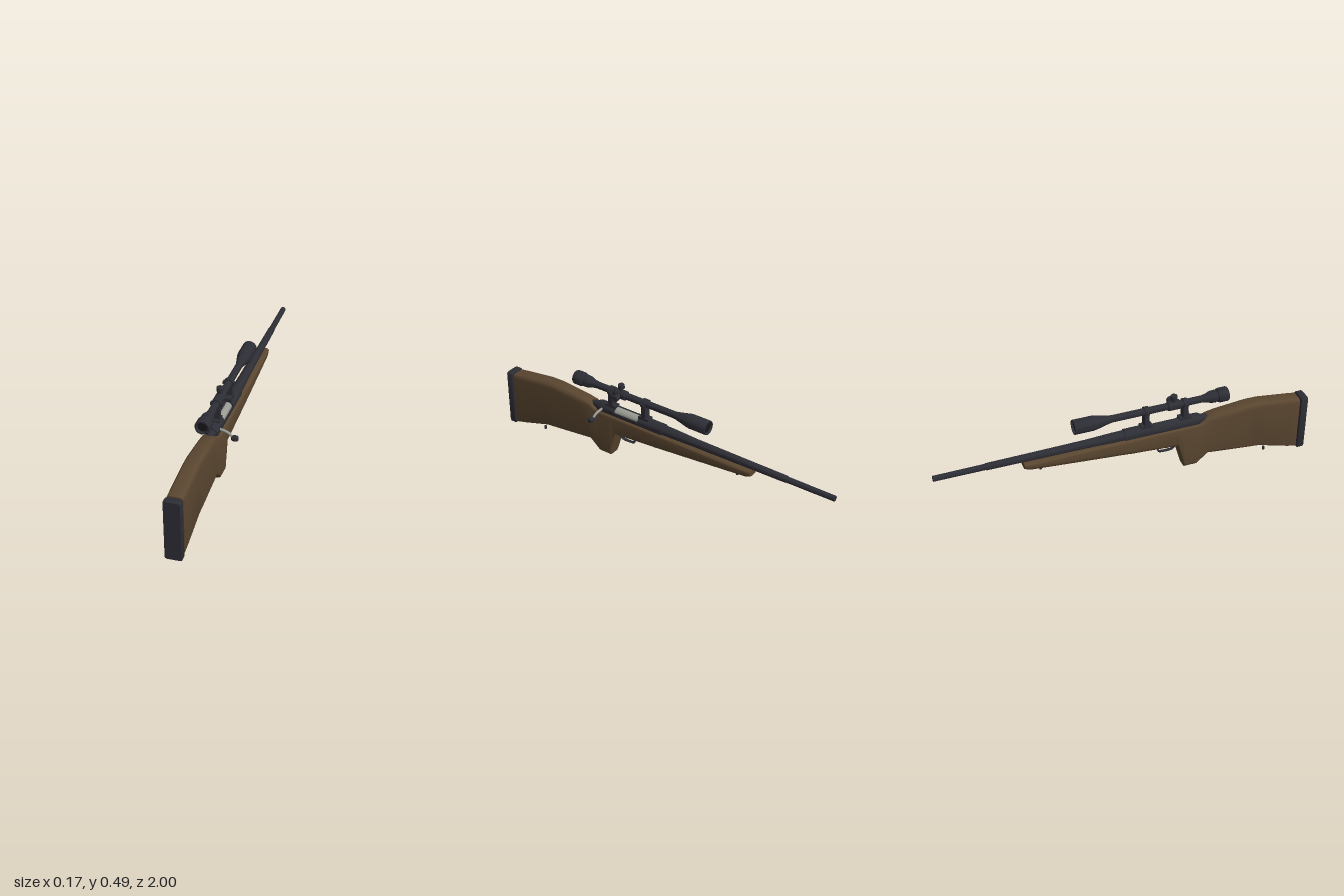
import * as THREE from 'three';
import { toCreasedNormals } from 'three/addons/utils/BufferGeometryUtils.js';

const AXIS_X = -0.0425; // the whole body sits beside x = 0, the bolt knob balances it
const mat = (name, color, side = THREE.FrontSide) => {
  const m = new THREE.MeshStandardMaterial({ color, side });
  m.name = name;
  return m;
};

// Turned part along z from [z, radius] pairs, z ascending
function turned(profile, segments = 28) {
  const g = new THREE.LatheGeometry(profile.map(([z, r]) => new THREE.Vector2(r, z)), segments);
  g.rotateX(Math.PI / 2);
  return toCreasedNormals(g, 0.6);
}

// Rounded cross-sections lofted along z; station = [z, top, bottom, halfWidth, topRy, bottomRx, bottomRy]
function loft(stations) {
  const pos = [], idx = [], steps = 4;
  for (const [z, top, bottom, w, topRy, botRx, botRy] of stations) {
    const corners = [[1, 1, 0], [-1, 1, 90], [-1, -1, 180], [1, -1, 270]];
    for (const [sx, sy, start] of corners) {
      const rx = sy > 0 ? 0.018 : botRx, ry = sy > 0 ? topRy : botRy;
      const cx = sx * (w - rx), cy = sy > 0 ? top - ry : bottom + ry;
      for (let k = 0; k <= steps; k++) {
        const a = THREE.MathUtils.degToRad(start + 90 * k / steps);
        pos.push(cx + rx * Math.cos(a), cy + ry * Math.sin(a), z);
      }
    }
  }
  const n = 4 * (steps + 1), last = (stations.length - 1) * n;
  for (let i = 0; i < stations.length - 1; i++) {
    for (let j = 0; j < n; j++) {
      const a = i * n + j, b = i * n + (j + 1) % n;
      idx.push(a, a + n, b, b, a + n, b + n);
    }
  }
  for (let j = 1; j < n - 1; j++) {
    idx.push(0, j, j + 1, last, last + j + 1, last + j);
  }
  const g = new THREE.BufferGeometry();
  g.setAttribute('position', new THREE.Float32BufferAttribute(pos, 3));
  g.setIndex(idx);
  return toCreasedNormals(g, 0.6);
}

function tube(points, radius) {
  const curve = new THREE.CatmullRomCurve3(points.map(p => new THREE.Vector3(...p)));
  return new THREE.TubeGeometry(curve, 24, radius, 10);
}

export function createModel() {
  const wood = mat('walnut', 0x5a4630);
  const metal = mat('gunmetal', 0x2d2d35, THREE.DoubleSide);
  const steel = mat('bright steel', 0x9b9b95);
  const glass = mat('dark glass', 0x17171c);

  const model = new THREE.Group();
  model.name = 'boltActionRifle';
  const body = new THREE.Group();
  body.name = 'body';
  body.position.x = AXIS_X;
  model.add(body);

  const add = (name, geometry, material, x = 0, y = 0, z = 0, parent = body) => {
    const m = new THREE.Mesh(geometry, material);
    m.name = name;
    m.position.set(x, y, z);
    parent.add(m);
    return m;
  };
  const box = (w, h, d) => new THREE.BoxGeometry(w, h, d);

  // Stock: butt, raised comb, pistol grip and forend
  add('stock', loft([
    [0.953, 0.318, 0.010, 0.041, 0.020, 0.012, 0.012],
    [0.900, 0.326, 0.024, 0.042, 0.024, 0.012, 0.012],
    [0.730, 0.349, 0.074, 0.042, 0.030, 0.014, 0.014],
    [0.660, 0.350, 0.081, 0.042, 0.030, 0.014, 0.014],
    [0.490, 0.335, 0.096, 0.041, 0.030, 0.018, 0.020],
    [0.435, 0.326, 0.101, 0.040, 0.026, 0.020, 0.020],
    [0.405, 0.304, 0.074, 0.040, 0.012, 0.022, 0.022],
    [0.374, 0.301, 0.047, 0.041, 0.012, 0.024, 0.024],
    [0.305, 0.301, 0.047, 0.042, 0.012, 0.024, 0.026],
    [0.290, 0.301, 0.100, 0.042, 0.012, 0.024, 0.026],
    [0.265, 0.301, 0.190, 0.042, 0.012, 0.022, 0.024],
    [0.140, 0.301, 0.198, 0.042, 0.012, 0.022, 0.024],
    [-0.10, 0.300, 0.214, 0.042, 0.012, 0.028, 0.030],
    [-0.40, 0.298, 0.238, 0.040, 0.010, 0.030, 0.030],
    [-0.52, 0.297, 0.249, 0.038, 0.010, 0.028, 0.026],
    [-0.550, 0.295, 0.262, 0.034, 0.010, 0.022, 0.018],
  ]), wood);

  // Butt pad with rounded edges
  add('buttPad', loft([
    [1.000, 0.317, 0.003, 0.040, 0.010, 0.010, 0.010],
    [0.995, 0.320, 0.000, 0.0425, 0.010, 0.010, 0.010],
    [0.966, 0.320, 0.000, 0.0425, 0.010, 0.010, 0.010],
    [0.962, 0.318, 0.002, 0.041, 0.010, 0.010, 0.010],
  ]), metal);

  // Barrel with a hollow muzzle
  const axisY = 0.313;
  add('barrel', turned([
    [-0.96, 0], [-0.96, 0.007], [-1, 0.007], [-1, 0.0145], [-0.74, 0.0155], [-0.735, 0.018],
    [-0.50, 0.0195], [-0.22, 0.022], [-0.08, 0.027], [0, 0.028],
  ]), metal, 0, axisY);

  // Receiver: closed front ring, open port on the bolt side, rear bridge
  const R = 0.033;
  add('receiverFront', turned([[-0.02, 0.02], [-0.02, R - 0.002], [-0.018, R], [0.13, R], [0.13, 0.02]]), metal, 0, axisY);
  add('receiverRear', turned([[0.28, 0.02], [0.28, R], [0.385, R], [0.395, 0.028], [0.395, 0]]), metal, 0, axisY);
  const wall = new THREE.CylinderGeometry(R, R, 0.15, 24, 1, true, Math.PI, Math.PI * 1.6);
  wall.rotateX(Math.PI / 2);
  add('receiverPortWall', wall, metal, 0, axisY, 0.205);
  add('receiverBed', box(0.056, 0.03, 0.41), metal, 0, 0.298, 0.185);
  add('bolt', turned([[0.12, 0.024], [0.30, 0.024]]), steel, 0, axisY + 0.002);
  add('boltShroud', turned([[0.39, 0.024], [0.42, 0.02], [0.44, 0.014], [0.445, 0]]), metal, 0, axisY);

  // Bolt handle and knob
  add('boltHandle', tube([[0.015, 0.318, 0.355], [0.045, 0.317, 0.358], [0.075, 0.308, 0.362],
    [0.092, 0.296, 0.365], [0.104, 0.288, 0.367]], 0.0068), steel);
  const knob = add('boltKnob', turned([[-0.019, 0], [-0.018, 0.009], [-0.010, 0.015], [0.008, 0.0155],
    [0.016, 0.011], [0.018, 0]], 16), metal, 0.108, 0.287, 0.367);
  knob.rotation.y = Math.PI / 2;
  knob.rotation.z = -0.2;

  // Trigger, guard and floor plate
  const guard = add('triggerGuard', tube([[0, 0.200, 0.275], [0, 0.176, 0.262], [0, 0.161, 0.245],
    [0, 0.159, 0.190], [0, 0.163, 0.172], [0, 0.182, 0.167], [0, 0.202, 0.164]], 0.0045), metal);
  guard.scale.x = 2;
  add('trigger', tube([[0, 0.202, 0.222], [0, 0.185, 0.226], [0, 0.172, 0.216]], 0.004), metal);
  add('floorPlate', box(0.032, 0.012, 0.14), metal, 0, 0.2, 0.085).rotation.x = 0.06;

  // Sling studs
  for (const [name, y, z] of [['rearSlingStud', 0.021, 0.78], ['frontSlingStud', 0.233, -0.46]]) {
    add(name, new THREE.CylinderGeometry(0.007, 0.007, 0.017, 12), metal, 0, y, z);
  }

  // Scope: tube with flared objective and eyepiece
  const scope = new THREE.Group();
  scope.name = 'scope';
  scope.position.y = 0.432;
  body.add(scope);
  add('scopeTube', turned([
    [-0.270, 0], [-0.270, 0.031], [-0.285, 0.032], [-0.285, 0.037], [-0.282, 0.038], [-0.185, 0.038],
    [-0.170, 0.036], [-0.100, 0.021], [-0.080, 0.0185], [0.400, 0.0185], [0.425, 0.022], [0.450, 0.031],
    [0.475, 0.033], [0.478, 0.029], [0.486, 0.029], [0.489, 0.035], [0.500, 0.038], [0.538, 0.038],
    [0.545, 0.035], [0.545, 0.028], [0.530, 0.026], [0.530, 0],
  ], 32), metal, 0, 0, 0, scope);
  add('objectiveLens', turned([[-0.274, 0], [-0.274, 0.031], [-0.271, 0.031]]), glass, 0, 0, 0, scope);
  add('eyepieceLens', turned([[0.531, 0.025], [0.533, 0.025], [0.533, 0]]), glass, 0, 0, 0, scope);

  // Turret housing with top and side adjusters
  add('turretHousing', turned([[0.212, 0.0185], [0.220, 0.025], [0.280, 0.025], [0.288, 0.0185]]), metal, 0, 0, 0, scope);
  const turret = [[0.015, 0.011], [0.036, 0.011], [0.037, 0.0175], [0.057, 0.0175], [0.059, 0.016], [0.059, 0]];
  add('topTurret', turned(turret, 20), metal, 0, 0, 0.25, scope).rotation.x = -Math.PI / 2;
  add('sideTurret', turned(turret, 20), metal, 0, 0, 0.25, scope).rotation.y = Math.PI / 2;

  // Two scope mounts: base, post, ring and clamp screws
  for (const z of [0.31, 0.1]) {
    const mount = new THREE.Group();
    mount.name = 'scopeMount';
    mount.position.z = z;
    body.add(mount);
    add('mountBase', box(0.04, 0.02, 0.062), metal, 0, 0.342, 0, mount);
    add('mountPost', box(0.037, 0.07, 0.026), metal, 0, 0.38, 0, mount);
    add('mountRing', turned([[-0.012, 0.018], [-0.012, 0.025], [0.012, 0.025], [0.012, 0.018]]), metal, 0, 0.432, 0, mount);
    for (const s of [-1, 1]) add('clampLug', box(0.010, 0.014, 0.02), metal, s * 0.025, 0.432, 0, mount);
  }
  return model;
}
